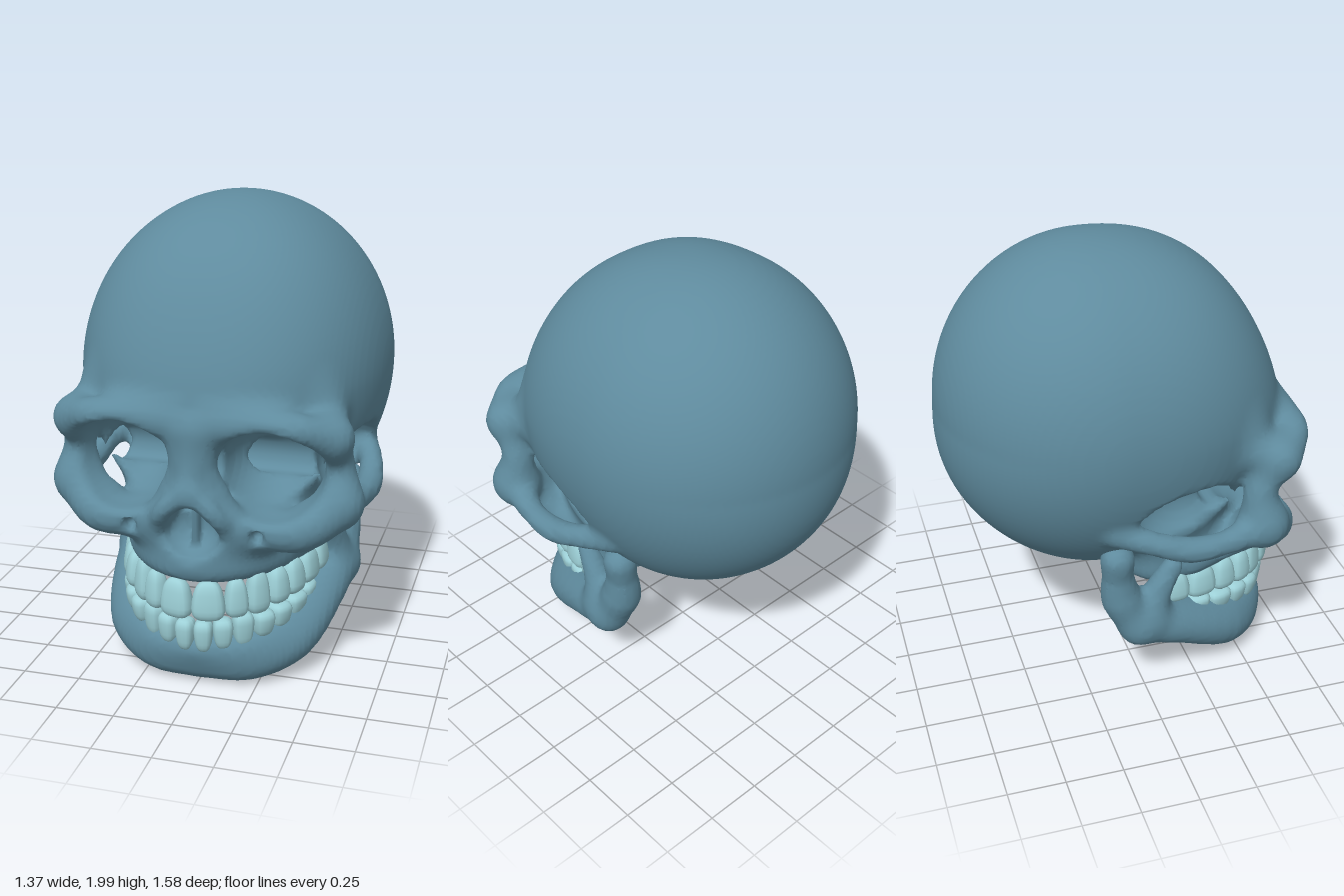
import * as THREE from 'three';

// ---- sculpting helpers: soft distance fields, meshed on a grid ----
const smin = (a, b, k) => {
  const h = Math.max(k - Math.abs(a - b), 0) / k;
  return Math.min(a, b) - h * h * k * 0.25;
};
const carve = (a, b, k) => -smin(-a, b, k);

function ellipsoid(x, y, z, [cx, cy, cz], [rx, ry, rz]) {
  const u = (x - cx) / rx, v = (y - cy) / ry, w = (z - cz) / rz;
  const k0 = Math.hypot(u, v, w), k1 = Math.hypot(u / rx, v / ry, w / rz);
  return k1 < 1e-6 ? -Math.min(rx, ry, rz) : k0 * (k0 - 1) / k1;
}

// Smooth curve through [x, y, z, radius] points, four steps per span
function path(...pts) {
  const curve = new THREE.CatmullRomCurve3(pts.map((p) => new THREE.Vector3(p[0], p[1], p[2])));
  const spans = pts.length - 1;
  return Array.from({ length: spans * 4 + 1 }, (_, i) => {
    const v = curve.getPoint(i / (spans * 4)), j = Math.min(Math.floor(i / 4), spans - 1);
    return [v.x, v.y, v.z, THREE.MathUtils.lerp(pts[j][3], pts[j + 1][3], i / 4 - j)];
  });
}

// Tapering rounded bar along a path
function bar(x, y, z, pts) {
  let d = 1e9;
  for (let i = 0; i + 1 < pts.length; i++) {
    const [ax, ay, az, ar] = pts[i], [bx, by, bz, br] = pts[i + 1];
    const ex = bx - ax, ey = by - ay, ez = bz - az;
    const t = Math.min(1, Math.max(0,
      ((x - ax) * ex + (y - ay) * ey + (z - az) * ez) / (ex * ex + ey * ey + ez * ez)));
    const dx = x - ax - ex * t, dy = y - ay - ey * t, dz = z - az - ez * t;
    d = Math.min(d, Math.sqrt(dx * dx + dy * dy + dz * dz) - ar - (br - ar) * t);
  }
  return d;
}

// Surface net: one vertex per crossed cell, one quad per crossed edge
function sculpt(field, min, max, h) {
  const n = min.map((m, i) => Math.ceil((max[i] - m) / h) + 1);
  const step = [1, n[0], n[0] * n[1]];
  const val = new Float32Array(n[0] * n[1] * n[2]);
  const cell = new Int32Array(val.length).fill(-1);
  const pos = [], index = [];
  const each = (lo, hi, fn) => {
    for (let k = lo; k < n[2] - hi; k++)
      for (let j = lo; j < n[1] - hi; j++)
        for (let i = lo; i < n[0] - hi; i++) fn(i + j * step[1] + k * step[2], [i, j, k]);
  };
  each(0, 0, (id, p) => {
    val[id] = field(Math.abs(min[0] + p[0] * h), min[1] + p[1] * h, min[2] + p[2] * h);
  });
  each(0, 1, (id, p) => {
    const sum = [0, 0, 0];
    let count = 0;
    for (let c = 0; c < 8; c++) for (let a = 0; a < 3; a++) {
      if (c >> a & 1) continue;
      const o = [c & 1, c >> 1 & 1, c >> 2 & 1];
      const s = id + o[0] + o[1] * step[1] + o[2] * step[2];
      const v0 = val[s], v1 = val[s + step[a]];
      if ((v0 < 0) === (v1 < 0)) continue;
      o[a] = v0 / (v0 - v1);
      for (let q = 0; q < 3; q++) sum[q] += o[q];
      count++;
    }
    if (!count) return;
    cell[id] = pos.length / 3;
    for (let q = 0; q < 3; q++) pos.push(min[q] + (p[q] + sum[q] / count) * h);
  });
  each(1, 1, (id) => {
    for (let a = 0; a < 3; a++) {
      const inside = val[id] < 0;
      if (inside === (val[id + step[a]] < 0)) continue;
      const b = step[(a + 1) % 3], c = step[(a + 2) % 3];
      const q = [cell[id - b - c], cell[id - c], cell[id], cell[id - b]];
      if (!inside) q.reverse();
      index.push(q[0], q[1], q[2], q[0], q[2], q[3]);
    }
  });
  const g = new THREE.BufferGeometry();
  g.setAttribute('position', new THREE.Float32BufferAttribute(pos, 3));
  g.setIndex(index);
  g.computeVertexNormals();
  return g;
}

// ---- bone shapes, drawn for the +x half ----
const BROW = path([0.08, 1.18, 0.68, 0.06], [0.25, 1.195, 0.69, 0.06], [0.44, 1.185, 0.67, 0.065], [0.545, 1.13, 0.58, 0.065]);
const TEMPLE = path([0.54, 1.14, 0.56, 0.065], [0.51, 1.17, 0.48, 0.07], [0.44, 1.29, 0.42, 0.05]);
const ORBIT_SIDE = path([0.545, 1.13, 0.56, 0.065], [0.555, 1, 0.49, 0.07], [0.57, 0.86, 0.5, 0.08]);
const CHEEK = path([0.2, 0.75, 0.61, 0.085], [0.42, 0.745, 0.605, 0.095], [0.555, 0.82, 0.51, 0.097]);
const BUTTRESS = path([0.46, 0.74, 0.5, 0.08], [0.42, 0.65, 0.4, 0.06], [0.39, 0.58, 0.25, 0.05]);
const CHEEK_ARCH = path([0.57, 0.82, 0.48, 0.07], [0.625, 0.805, 0.3, 0.05], [0.63, 0.805, 0.15, 0.056], [0.61, 0.85, 0, 0.05], [0.55, 0.89, -0.14, 0.06]);
const NOSE = path([0, 1.15, 0.68, 0.07], [0, 1, 0.7, 0.06], [0, 0.89, 0.735, 0.05]);
const NOSE_WALL = path([0.05, 1.14, 0.69, 0.05], [0.055, 1, 0.685, 0.045], [0.085, 0.89, 0.665, 0.06], [0.14, 0.8, 0.66, 0.055]);
const NOSE_SIDE = path([0.02, 0.91, 0.735, 0.045], [0.115, 0.815, 0.74, 0.038], [0.15, 0.74, 0.67, 0.04]);

function cranium(x, y, z) {
  const up = y > 1.28, front = z > -0.1;
  const Y = (y - 1.28) / (up ? 0.72 : 0.77);
  const bow = Math.sin(Math.PI * Math.min(Math.abs(Y), 1));   // sloped forehead, full nape
  const Z = (z + 0.1) / (front ? 0.81 - (up ? 0.04 * bow : 0) : 0.69 + (up ? 0 : 0.025 * bow));
  const e = front ? 2.3 : 2;
  const flat = Math.pow(Math.pow(x / 0.672, e) + Math.pow(Math.abs(Z), e), 2 / e);
  return (Math.sqrt(flat + Y * Y) - 1) * 0.7;
}

function maxilla(x, y, z) {
  const around = (Math.hypot(x / 0.435, (z - 0.1) / (z > 0.1 ? 0.64 : 0.2)) - 1) * 0.43;
  return -smin(-around, 0.15 - Math.abs(y - 0.64), 0.08);
}

function skullField(x, y, z) {
  let d = smin(cranium(x, y, z), maxilla(x, y, z), 0.08);
  d = carve(d, ellipsoid(x, y, z, [0, 0.44, 0.28], [0.3, 0.12, 0.34]), 0.04);       // palate
  d = carve(d, ellipsoid(x, y, z, [0.56, 0.92, 0.165], [0.15, 0.16, 0.235]), 0.03); // temple hollow
  d = smin(d, bar(x, y, z, BROW), 0.09);
  d = smin(d, bar(x, y, z, TEMPLE), 0.1);
  d = smin(d, bar(x, y, z, ORBIT_SIDE), 0.05);
  d = smin(d, bar(x, y, z, CHEEK), 0.09);
  d = smin(d, bar(x, y, z, BUTTRESS), 0.06);
  d = smin(d, bar(x, y, z, CHEEK_ARCH), 0.04);
  d = smin(d, bar(x, y, z, NOSE), 0.06);
  d = carve(d, ellipsoid(x, y, z, [0.31, 0.985, 0.66], [0.22, 0.2, 0.37]), 0.03);   // eye socket
  d = carve(d, ellipsoid(x, y, z, [0, 0.735, 0.72], [0.13, 0.115, 0.11]), 0.02);    // nose opening
  d = smin(d, bar(x, y, z, NOSE_WALL), 0.03);
  d = smin(d, bar(x, y, z, NOSE_SIDE), 0.03);
  d = carve(d, ellipsoid(x, y, z, [0.27, 0.725, 0.7], [0.03, 0.03, 0.06]), 0.015);  // small cheek hole
  // Passages behind the sockets and the nose bridge
  d = carve(d, Math.max(Math.hypot((y - 0.95) / 1.3, z - 0.32) - 0.06, x - 0.52), 0.02);
  d = carve(d, Math.max(Math.hypot((y - 1) / 2, z - 0.595) - 0.03, x - 0.3), 0.02);
  const septum = Math.max(x - 0.015, Math.abs(y - 0.73) - 0.1, Math.abs(z - 0.62) - 0.06);
  return Math.min(d, septum);
}

const JAW_BODY = path([0, 0.115, 0.57, 0.107], [0.2, 0.12, 0.55, 0.105], [0.355, 0.165, 0.42, 0.105], [0.445, 0.275, 0.18, 0.09], [0.475, 0.34, -0.02, 0.085]);
const JAW_RIDGE = path([0, 0.18, 0.645, 0.055], [0.18, 0.185, 0.6, 0.06], [0.31, 0.22, 0.45, 0.065], [0.39, 0.3, 0.22, 0.065], [0.44, 0.36, 0.08, 0.06]);
const JAW_BRANCH = path([0.475, 0.34, -0.02, 0.085], [0.465, 0.49, -0.1, 0.09], [0.475, 0.62, -0.12, 0.068], [0.485, 0.71, -0.125, 0.075]);
const JAW_HORN = path([0.47, 0.38, 0.03, 0.08], [0.465, 0.5, 0.07, 0.06], [0.46, 0.61, 0.135, 0.045]);

function jawField(x, y, z) {
  let d = smin(bar(x, y, z, JAW_BODY), bar(x, y, z, JAW_RIDGE), 0.06);
  d = smin(d, bar(x, y, z, JAW_BRANCH), 0.05);
  return smin(d, bar(x, y, z, JAW_HORN), 0.05);
}

// Rounded tooth, narrower at the root (top) than at the crown
function toothGeometry() {
  const g = new THREE.SphereGeometry(1, 16, 12), p = g.attributes.position;
  const puff = (v) => Math.sign(v) * Math.pow(Math.abs(v), 0.7);
  for (let i = 0; i < p.count; i++) {
    const y = puff(p.getY(i)), taper = 0.9 - 0.18 * y;
    p.setXYZ(i, puff(p.getX(i)) * taper, y, puff(p.getZ(i)) * taper);
  }
  g.computeVertexNormals();
  return g;
}

// Row of fourteen teeth along half an ellipse, mirrored; widths run from the middle out
function toothRow(name, geometry, material, { rx, rz, zc, front, back, widths, flip }) {
  const row = new THREE.Group();
  row.name = name;
  const arch = new THREE.EllipseCurve(0, zc, rx, rz, 0, Math.PI / 2);
  const total = widths.reduce((a, b) => a + b), unit = arch.getLength() / total;
  let run = 0;
  widths.forEach((w, i) => {
    const u = 1 - (run + w / 2) / total, f = i / 6;
    run += w;
    const p = arch.getPointAt(u), t = arch.getTangentAt(u);
    const lo = front[0] + (back[0] - front[0]) * f, hi = front[1] + (back[1] - front[1]) * f;
    for (const side of [1, -1]) {
      const tooth = new THREE.Mesh(geometry, material);
      tooth.name = i < 2 ? 'incisor' : i === 2 ? 'canine' : 'molar';
      tooth.position.set(side * p.x, (lo + hi) / 2, p.y);
      tooth.rotation.set(0, side * Math.atan2(t.y, -t.x), flip ? Math.PI : 0);
      tooth.scale.set(w * unit * (i < 3 ? 0.55 : 0.6), (hi - lo) / 2 + (i === 2 ? 0.012 : 0), i < 3 ? 0.047 : 0.063);
      row.add(tooth);
    }
  });
  return row;
}

export function createModel() {
  const bone = new THREE.MeshStandardMaterial({ name: 'bone blue', color: 0x5f8b9e });
  const enamel = new THREE.MeshStandardMaterial({ name: 'tooth pale teal', color: 0x9dd0d7 });
  const model = new THREE.Group();
  model.name = 'skull';
  const upper = new THREE.Mesh(sculpt(skullField, [-0.76, 0.42, -0.86], [0.76, 2.06, 0.86], 0.02), bone);
  upper.name = 'craniumAndFace';
  const jaw = new THREE.Mesh(sculpt(jawField, [-0.65, -0.05, -0.3], [0.65, 0.86, 0.78], 0.02), bone);
  jaw.name = 'lowerJaw';
  const tooth = toothGeometry();
  model.add(upper, jaw,
    toothRow('upperTeeth', tooth, enamel, { rx: 0.4, rz: 0.61, zc: 0.1, front: [0.34, 0.515], back: [0.385, 0.54], widths: [1.2, 0.85, 0.9, 0.85, 0.95, 1.15, 1.1] }),
    toothRow('lowerTeeth', tooth, enamel, { rx: 0.375, rz: 0.45, zc: 0.23, front: [0.18, 0.325], back: [0.27, 0.375], widths: [0.85, 0.9, 0.95, 0.95, 1, 1.2, 1.15], flip: true }));
  return model;
}
